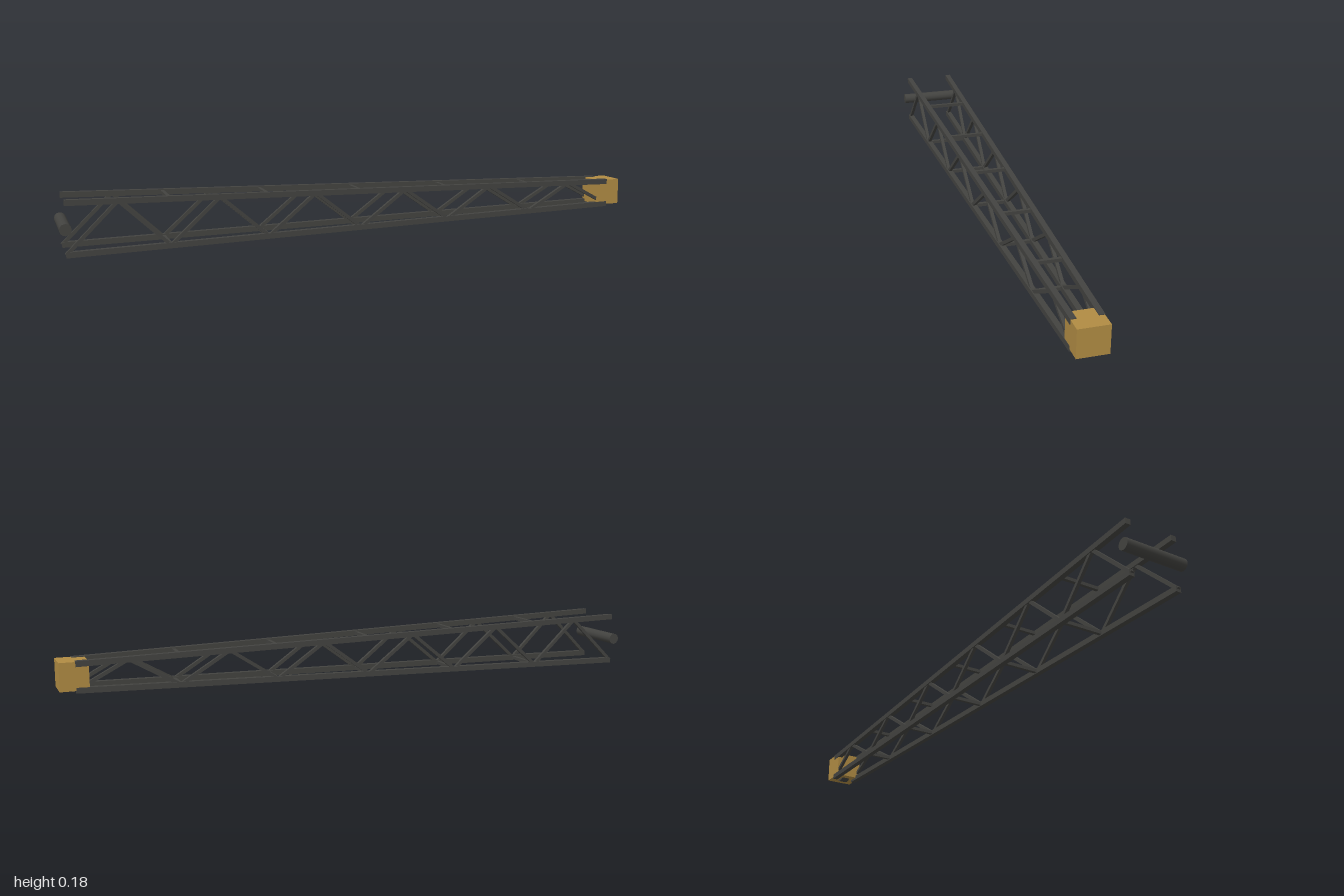
import * as THREE from 'three';

export function createModel() {
  const group = new THREE.Group();
  const steel = new THREE.MeshStandardMaterial({ color: 0x434340 });
  steel.name = 'dark steel';
  const gold = new THREE.MeshStandardMaterial({ color: 0xb08b43 });
  gold.name = 'ochre';

  const x0 = -0.98, x1 = 0.95, midY = 0.09, steps = 12;

  // Point on the centre line of a tapering chord (sy, sz = +1 or -1)
  const chordPoint = (t, sy, sz) => new THREE.Vector3(
    THREE.MathUtils.lerp(x0, x1, t),
    midY + sy * THREE.MathUtils.lerp(0.081, 0.041, t),
    sz * THREE.MathUtils.lerp(0.081, 0.04, t));

  // Square bar between two points, kept upright
  function bar(name, a, b, size) {
    const mesh = new THREE.Mesh(new THREE.BoxGeometry(size, size, a.distanceTo(b)), steel);
    mesh.position.copy(a).add(b).multiplyScalar(0.5);
    mesh.lookAt(b);
    mesh.name = name;
    group.add(mesh);
  }

  // Four main chords
  for (const sy of [-1, 1]) for (const sz of [-1, 1])
    bar('chord', chordPoint(0, sy, sz), chordPoint(1, sy, sz), 0.018);

  // Zigzag lacing on both sides
  for (const sz of [-1, 1])
    for (let i = 0; i < steps; i++) {
      const s = i % 2 ? 1 : -1;
      bar('diagonalBrace', chordPoint(i / steps, s, sz), chordPoint((i + 1) / steps, -s, sz), 0.011);
    }

  // Cross bars, top and bottom, at every second node
  for (let i = 2; i < steps; i += 2)
    for (const sy of [-1, 1])
      bar('crossBar', chordPoint(i / steps, sy, -1), chordPoint(i / steps, sy, 1), 0.011);

  // Cylinder lying along z
  function roller(name, x, y, radius, length) {
    const geo = new THREE.CylinderGeometry(radius, radius, length, 12).rotateX(Math.PI / 2);
    const mesh = new THREE.Mesh(geo, steel);
    mesh.position.set(x, y, 0);
    mesh.name = name;
    group.add(mesh);
  }
  roller('hingePin', -0.981, 0.091, 0.019, 0.21);
  roller('tipPulley', 0.955, 0.069, 0.03, 0.03);

  // Head block at the tip
  const head = new THREE.Mesh(new THREE.BoxGeometry(0.09, 0.09, 0.096), gold);
  head.position.set(0.955, 0.093, 0);
  head.name = 'headBlock';
  group.add(head);

  return group;
}
